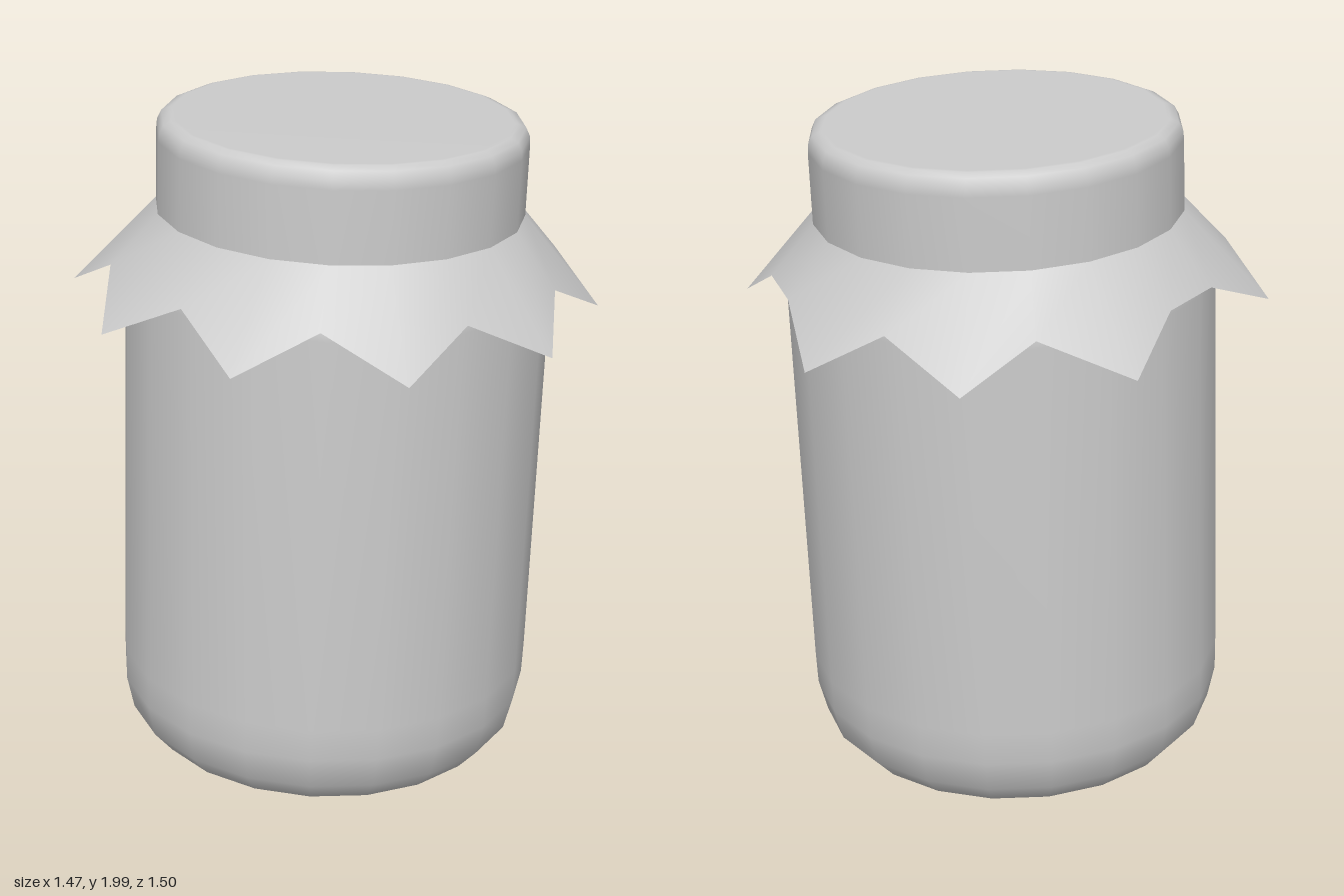
import * as THREE from 'three';

const SIDES = 20;
const material = new THREE.MeshStandardMaterial({ color: 0xcccccc });
const clothMaterial = new THREE.MeshStandardMaterial({ color: 0xcccccc, side: THREE.DoubleSide });

function lathe(name, profile) {
  const points = profile.map(([r, y]) => new THREE.Vector2(r, y));
  const mesh = new THREE.Mesh(new THREE.LatheGeometry(points, SIDES), material);
  mesh.name = name;
  return mesh;
}

// Cloth skirt: one strip from the lid's lower edge out to a jagged hem
function clothSkirt() {
  const hem = [ // x, z clockwise from the back
    [-0.245, -0.737], [0.015, -0.672], [0.235, -0.737], [0.405, -0.532], [0.62, -0.457],
    [0.635, -0.192], [0.665, 0.018], [0.73, 0.238], [0.53, 0.398], [0.45, 0.623],
    [0.195, 0.633], [-0.005, 0.768], [-0.215, 0.623], [-0.46, 0.623], [-0.545, 0.378],
    [-0.74, 0.238], [-0.67, -0.017], [-0.74, -0.242], [-0.53, -0.402], [-0.38, -0.547],
  ];
  const positions = [], index = [];
  hem.forEach(([x, z], i) => {
    const a = ((i - 1) / SIDES) * Math.PI * 2 - Math.PI / 2;
    positions.push(0.537 * Math.cos(a), 1.69, 0.537 * Math.sin(a));
    // far points are the drooping tips, near ones the notches
    positions.push(x, Math.hypot(x, z) > 0.71 ? 1.425 : 1.54, z);
    const p = 2 * i, q = 2 * ((i + 1) % SIDES);
    index.push(p, q + 1, p + 1, p, q, q + 1);
  });
  const geometry = new THREE.BufferGeometry();
  geometry.setAttribute('position', new THREE.Float32BufferAttribute(positions, 3));
  geometry.setIndex(index);
  geometry.computeVertexNormals();
  const mesh = new THREE.Mesh(geometry, clothMaterial);
  mesh.name = 'clothSkirt';
  return mesh;
}

export function createModel() {
  const group = new THREE.Group();
  group.name = 'jar';
  const jar = new THREE.Group();
  jar.name = 'tiltedJar';

  // Glass body with rounded base and a shoulder under the cloth
  jar.add(lathe('body', [
    [0, 0], [0.42, 0], [0.45, 0.003], [0.54, 0.03], [0.6, 0.1], [0.623, 0.2],
    [0.625, 0.3], [0.625, 1.5], [0.6, 1.58], [0.52, 1.67], [0.52, 1.7],
  ]));
  // Cloth-covered lid with a small rounded rim
  jar.add(lathe('lid', [
    [0.537, 1.69], [0.537, 1.9], [0.535, 1.925], [0.523, 1.95],
    [0.5, 1.96], [0.49, 1.961], [0, 1.961],
  ]));
  jar.add(clothSkirt());

  // The whole jar leans slightly to its left
  jar.rotation.z = -0.037;
  jar.position.set(-0.05, 0.02, -0.018);
  group.add(jar);
  return group;
}
